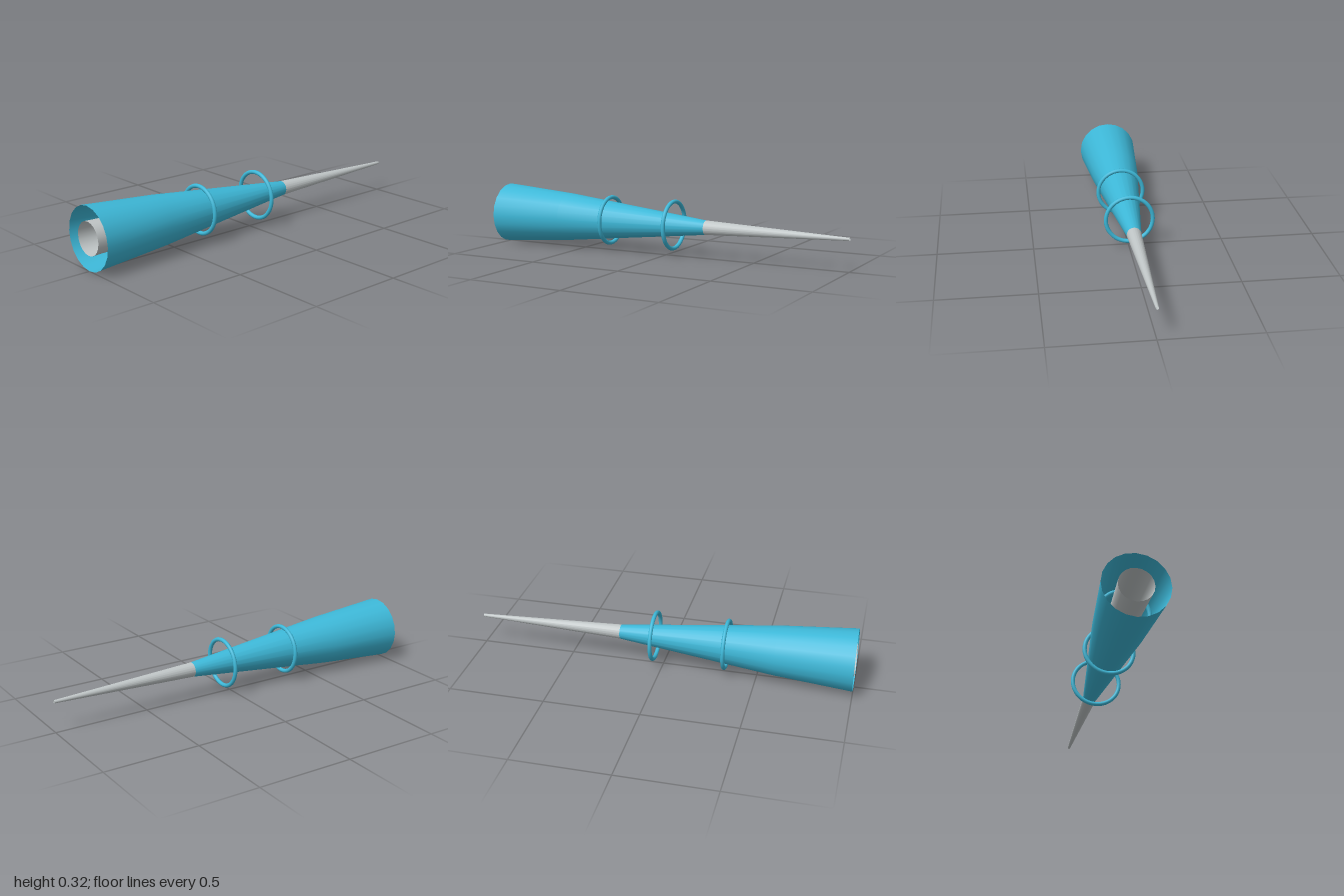
import * as THREE from 'three';

const AXIS_Y = 0.1625;

export function createModel() {
  const model = new THREE.Group();
  model.name = 'ringedCone';

  const teal = new THREE.MeshStandardMaterial({ color: 0x3db8d8, side: THREE.DoubleSide });
  teal.name = 'teal';
  const grey = new THREE.MeshStandardMaterial({ color: 0xc0c6c7, side: THREE.DoubleSide });
  grey.name = 'light grey';

  // Open shell of revolution along z, from [radius, z] points, back to front
  function shell(name, points, material) {
    const geometry = new THREE.LatheGeometry(points.map(([r, z]) => new THREE.Vector2(r, z)), 20);
    geometry.rotateX(Math.PI / 2);
    const mesh = new THREE.Mesh(geometry, material);
    mesh.name = name;
    mesh.position.y = AXIS_Y;
    model.add(mesh);
  }

  // Wide outer cone, whose narrow end runs on inside the spike
  shell('outerCone', [[0.007, -0.51], [0.034, -0.265], [0.13, 0.6], [0.1615, 1]], teal);

  // Long slim hollow spike through the whole length
  shell('innerSpike', [[0.008, -1], [0.07, 0.6], [0.085, 1]], grey);

  // Equal rings; the front one sits inside the outer cone
  for (const z of [-0.045, 0.336, 0.717]) {
    const ring = new THREE.Mesh(new THREE.TorusGeometry(0.123, 0.0107, 12, 40), teal);
    ring.name = 'ring';
    ring.position.set(0, AXIS_Y, z);
    model.add(ring);
  }

  return model;
}
